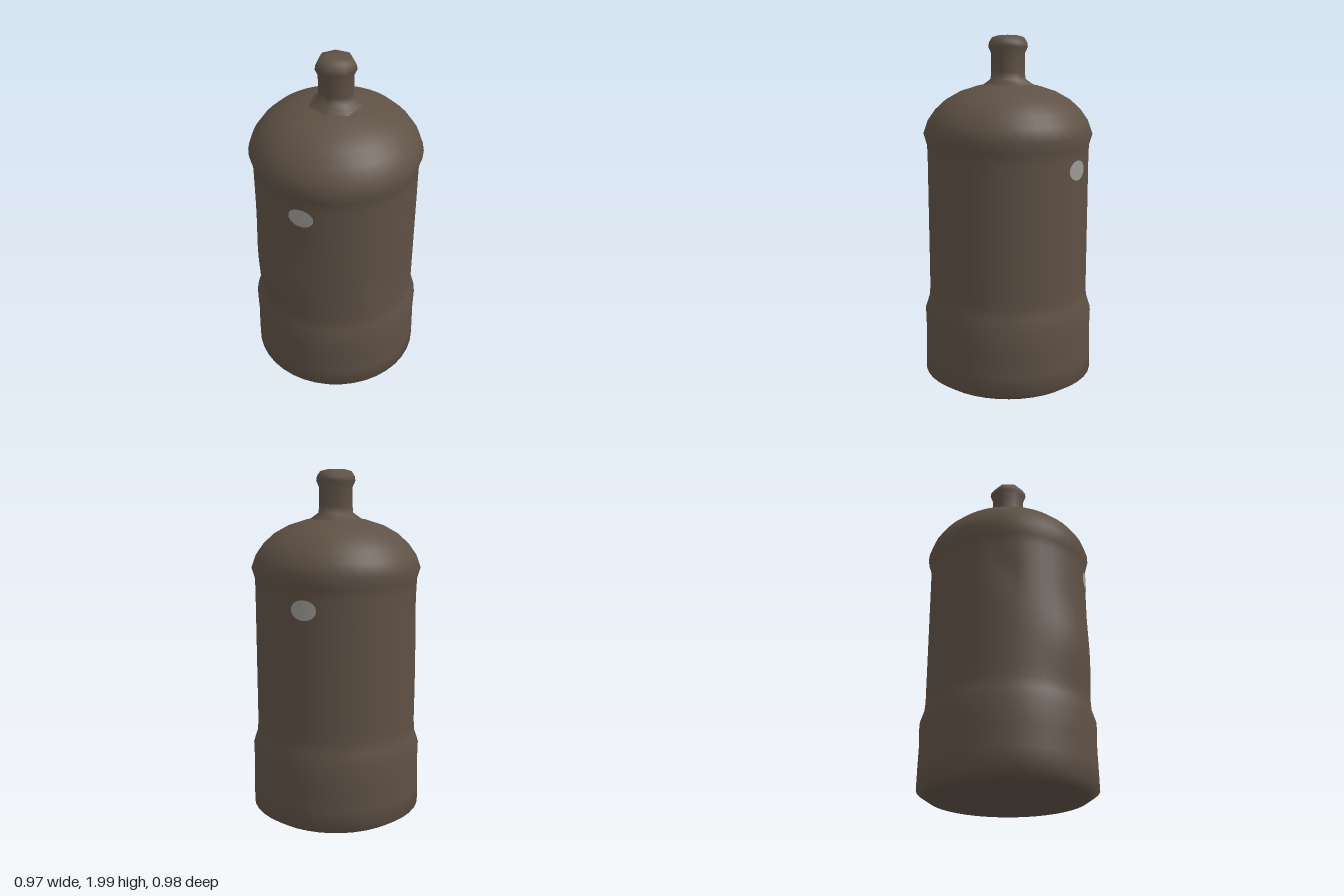
import * as THREE from 'three';
import { mergeVertices } from 'three/addons/utils/BufferGeometryUtils.js';

const bodyColour = new THREE.MeshStandardMaterial({ color: 0x5f5145 });
bodyColour.name = 'dark brown';
const spotColour = new THREE.MeshStandardMaterial({ color: 0x9c9a95 });
spotColour.name = 'grey';

// Local dents and bulges: angle from the front, height, angular width, vertical width, depth
const bumps = [
  [0, 0.8, 0.45, 0.2, 0.03],
  [-0.94, 1.2, 0.12, 0.12, -0.02],
  [1.57, 0.8, 0.15, 0.15, -0.012],
  [0, 0.44, 0.2, 0.04, 0.008],
];

// Turned shape with smooth shared normals, optionally dented
function turned(name, profile, sides, dents = []) {
  let geo = new THREE.LatheGeometry(profile.map(([r, y]) => new THREE.Vector2(r, y)), sides);
  geo.deleteAttribute('uv');
  geo.deleteAttribute('normal');
  geo = mergeVertices(geo, 1e-4);
  const p = geo.attributes.position;
  for (let i = 0; i < p.count; i++) {
    const x = p.getX(i), y = p.getY(i), z = p.getZ(i), r = Math.hypot(x, z);
    if (r < 0.3) continue;
    const a = Math.atan2(x, z);
    let d = 0;
    for (const [a0, y0, wa, wy, depth] of dents) {
      d += depth * Math.exp(-(((a - a0) / wa) ** 2) - ((y - y0) / wy) ** 2);
    }
    p.setX(i, x * (1 + d / r));
    p.setZ(i, z * (1 + d / r));
  }
  geo.computeVertexNormals();
  const mesh = new THREE.Mesh(geo, bodyColour);
  mesh.name = name;
  return mesh;
}

// Oval marking wrapped round the wall
function spot(name, angle) {
  const geo = new THREE.RingGeometry(0.001, 1, 24, 3);
  const p = geo.attributes.position;
  const radius = 0.46;
  for (let i = 0; i < p.count; i++) {
    const a = angle + (p.getX(i) * 0.072) / radius;
    p.setXYZ(i, Math.sin(a) * radius, 1.285 + p.getY(i) * 0.055, Math.cos(a) * radius);
  }
  geo.computeVertexNormals();
  const mesh = new THREE.Mesh(geo, spotColour);
  mesh.name = name;
  return mesh;
}

export function createModel() {
  const model = new THREE.Group();
  model.name = 'bottle';

  // Base band, straight wall and domed shoulder
  const wall = [];
  for (let y = 0.56; y < 1.39; y += 0.06) wall.push([0.457, y]);
  model.add(turned('body', [
    [0, 0.012], [0.2, 0.01], [0.32, 0.013], [0.43, 0.032], [0.487, 0.07],
    [0.485, 0.18], [0.482, 0.3], [0.485, 0.43], [0.462, 0.5],
    ...wall,
    [0.459, 1.4], [0.477, 1.46], [0.452, 1.53], [0.41, 1.59], [0.35, 1.645],
    [0.27, 1.69], [0.17, 1.722], [0.09, 1.735], [0, 1.74],
  ], 40, bumps));

  // Seven-sided neck with a capped rim
  const neck = turned('neck', [
    [0.15, 1.725], [0.1, 1.76], [0.096, 1.8], [0.096, 1.9], [0.112, 1.935],
    [0.108, 1.96], [0.09, 1.988], [0.05, 1.998], [0, 2],
  ], 7);
  neck.rotation.y = Math.PI;
  model.add(neck);

  // Matching markings on opposite sides
  model.add(spot('frontSpot', 0.47), spot('backSpot', 0.47 + Math.PI));
  return model;
}
